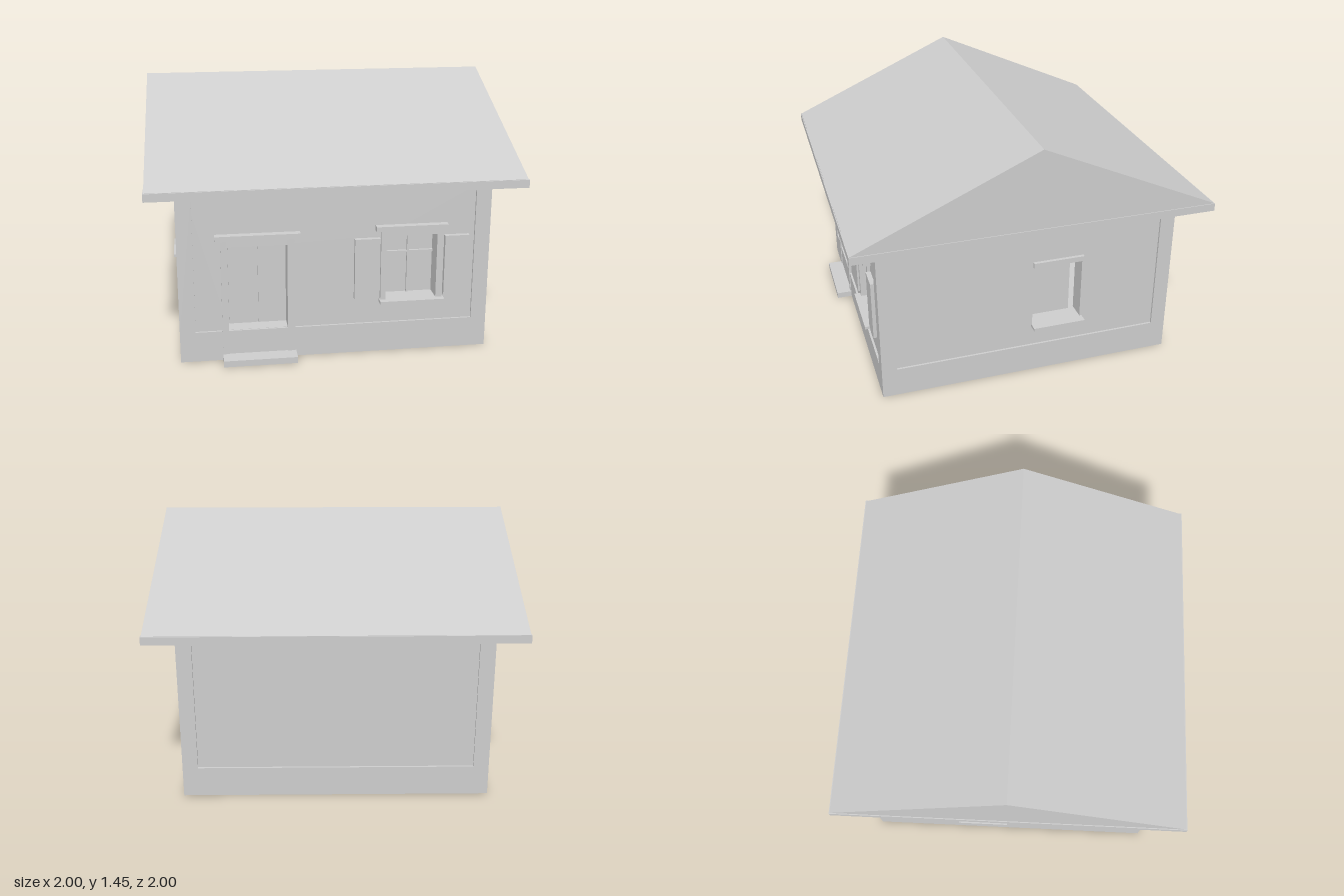
import * as THREE from 'three';

export function createModel() {
  const house = new THREE.Group();
  house.name = 'house';
  const plaster = new THREE.MeshStandardMaterial({ color: 0xcccccc });
  plaster.name = 'plaster grey';

  // Box given by its limits on each axis
  function block(name, x0, x1, y0, y1, z0, z1, parent = house) {
    const mesh = new THREE.Mesh(new THREE.BoxGeometry(x1 - x0, y1 - y0, z1 - z0), plaster);
    mesh.position.set((x0 + x1) / 2, (y0 + y1) / 2, (z0 + z1) / 2);
    mesh.name = name;
    parent.add(mesh);
    return mesh;
  }

  function rect(target, x0, x1, y0, y1) {
    target.moveTo(x0, y0);
    target.lineTo(x1, y0);
    target.lineTo(x1, y1);
    target.lineTo(x0, y1);
    target.closePath();
    return target;
  }

  // Flat plate with rectangular openings, facing local +z
  function plate(name, outer, holes, depth, parent) {
    const shape = rect(new THREE.Shape(), ...outer);
    holes.forEach((h) => shape.holes.push(rect(new THREE.Path(), ...h)));
    const mesh = new THREE.Mesh(
      new THREE.ExtrudeGeometry(shape, { depth, bevelEnabled: false }), plaster);
    mesh.name = name;
    parent.add(mesh);
    return mesh;
  }

  function side(name, angle) {
    const group = new THREE.Group();
    group.name = name;
    group.rotation.y = angle;
    house.add(group);
    return group;
  }

  // Base and corner posts
  block('plinth', -0.85, 0.85, 0, 0.17, -0.85, 0.85);
  for (const sx of [-1, 1]) {
    for (const sz of [-1, 1]) {
      const post = block('cornerPost', 0.765, 0.85, 0.17, 0.94, 0.765, 0.85);
      post.position.x *= sx;
      post.position.z *= sz;
    }
  }

  // Recessed wall panels between the posts
  function wall(group, holes) {
    plate('wallPanel', [-0.8, 0.8, 0.17, 0.96], holes, 0.1, group).position.z = 0.738;
  }

  const front = side('frontSide', 0);
  wall(front, [[-0.585, -0.265, 0.171, 0.65], [0.275, 0.555, 0.305, 0.675]]);
  wall(side('backSide', Math.PI), []);

  // Front door: two leaves in a cased opening
  block('doorBacking', -0.6, -0.25, 0.17, 0.66, 0.738, 0.75, front);
  for (const [a, b] of [[-0.58, -0.43], [-0.418, -0.27]]) {
    block('doorLeaf', a, b, 0.175, 0.638, 0.75, 0.765, front);
  }
  block('doorCasing', -0.62, -0.585, 0, 0.68, 0.8, 0.855, front);
  block('doorCasing', -0.265, -0.225, 0, 0.68, 0.8, 0.855, front);
  block('doorCasingTop', -0.62, -0.225, 0.65, 0.692, 0.8, 0.855, front);
  block('doorLintel', -0.65, -0.195, 0.69, 0.72, 0.8, 0.88, front);
  block('doorStep', -0.62, -0.22, 0, 0.035, 0.8, 0.94, front);

  // Front window with glazing bars, sill and shutters
  block('windowPane', 0.26, 0.57, 0.3, 0.69, 0.738, 0.75, front);
  block('windowBar', 0.41, 0.42, 0.305, 0.675, 0.75, 0.765, front);
  block('windowBar', 0.275, 0.555, 0.545, 0.555, 0.75, 0.765, front);
  block('windowCasing', 0.245, 0.275, 0.305, 0.71, 0.8, 0.855, front);
  block('windowCasing', 0.555, 0.59, 0.305, 0.71, 0.8, 0.855, front);
  block('windowCasingTop', 0.245, 0.59, 0.675, 0.71, 0.8, 0.855, front);
  block('windowLintel', 0.215, 0.61, 0.707, 0.735, 0.8, 0.878, front);
  block('windowSill', 0.24, 0.598, 0.292, 0.308, 0.745, 0.89, front);
  block('shutter', 0.1, 0.238, 0.32, 0.665, 0.835, 0.865, front);
  block('shutter', 0.597, 0.732, 0.32, 0.665, 0.835, 0.865, front);

  // Side walls, each with one deep window
  for (const s of [-1, 1]) {
    const group = side(s > 0 ? 'leftSide' : 'rightSide', s * Math.PI / 2);
    const span = (a, b) => (s > 0 ? [a, b] : [-b, -a]);
    wall(group, [[...span(0.02, 0.307), 0.305, 0.68]]);
    block('sideWindowPane', ...span(0.05, 0.272), 0.3, 0.69, 0.738, 0.748, group);
    block('sideWindowSill', ...span(0.015, 0.32), 0.29, 0.306, 0.74, 0.89, group);
    block('sideWindowLintel', ...span(0.018, 0.312), 0.68, 0.71, 0.74, 0.857, group);
  }

  // Square ring, open in the middle
  function ring(name, outer, inner, y0, y1) {
    const mesh = plate(name, [-outer, outer, -outer, outer],
      [[-inner, inner, -inner, inner]], y1 - y0, house);
    mesh.rotation.x = -Math.PI / 2;
    mesh.position.y = y0;
  }
  ring('cornice', 0.86, 0.76, 0.937, 0.96);
  ring('wallHead', 0.85, 0.76, 0.95, 1.0);
  ring('eavesFascia', 1.0, 0.975, 0.96, 1.003);

  // Gabled roof with the ridge along x
  const gable = new THREE.Shape();
  gable.moveTo(-0.995, 0.995);
  gable.lineTo(0.995, 0.995);
  gable.lineTo(0.995, 1.005);
  gable.lineTo(0, 1.45);
  gable.lineTo(-0.995, 1.005);
  gable.closePath();
  const roofGeometry = new THREE.ExtrudeGeometry(gable, { depth: 1.99, bevelEnabled: false });
  roofGeometry.translate(0, 0, -0.995);
  roofGeometry.rotateY(Math.PI / 2);
  const roof = new THREE.Mesh(roofGeometry, plaster);
  roof.name = 'roof';
  house.add(roof);

  return house;
}
